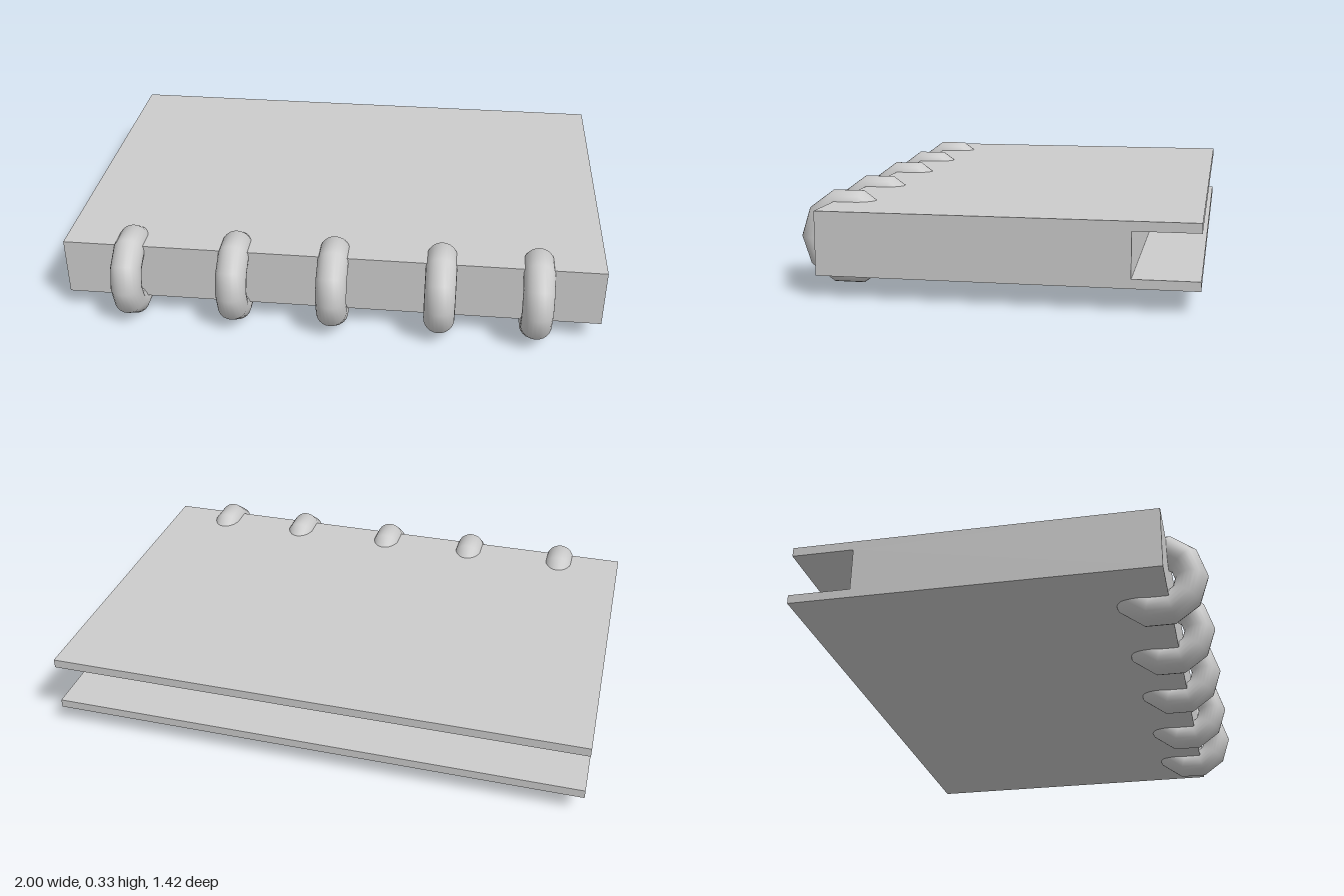
import * as THREE from 'three';

export function createModel() {
  const model = new THREE.Group();
  const material = new THREE.MeshStandardMaterial({ color: 0xcccccc });

  // Slab with a slot along its back edge: profile as (z, y), extruded along x
  const profile = new THREE.Shape([
    [0.575, 0.076], [0.575, 0.297], [-0.71, 0.297], [-0.71, 0.264],
    [-0.487, 0.264], [-0.487, 0.108], [-0.71, 0.108], [-0.71, 0.076],
  ].map(([z, y]) => new THREE.Vector2(z, y)));
  const slabGeometry = new THREE.ExtrudeGeometry(profile, { depth: 2, bevelEnabled: false });
  slabGeometry.rotateY(-Math.PI / 2).translate(1, 0, 0);
  const slab = new THREE.Mesh(slabGeometry, material);
  slab.name = 'slottedSlab';
  model.add(slab);

  // Ten-sided binding rings through the front edge, unevenly spaced
  const ringGeometry = new THREE.TorusGeometry(0.117, 0.057, 24, 10).rotateY(Math.PI / 2);
  const rings = new THREE.Group();
  rings.name = 'bindingRings';
  for (const x of [-0.751, -0.358, 0.011, 0.407, 0.759]) {
    const ring = new THREE.Mesh(ringGeometry, material);
    ring.name = 'bindingRing';
    ring.position.set(x, 0.166, 0.537);
    rings.add(ring);
  }
  model.add(rings);

  return model;
}
